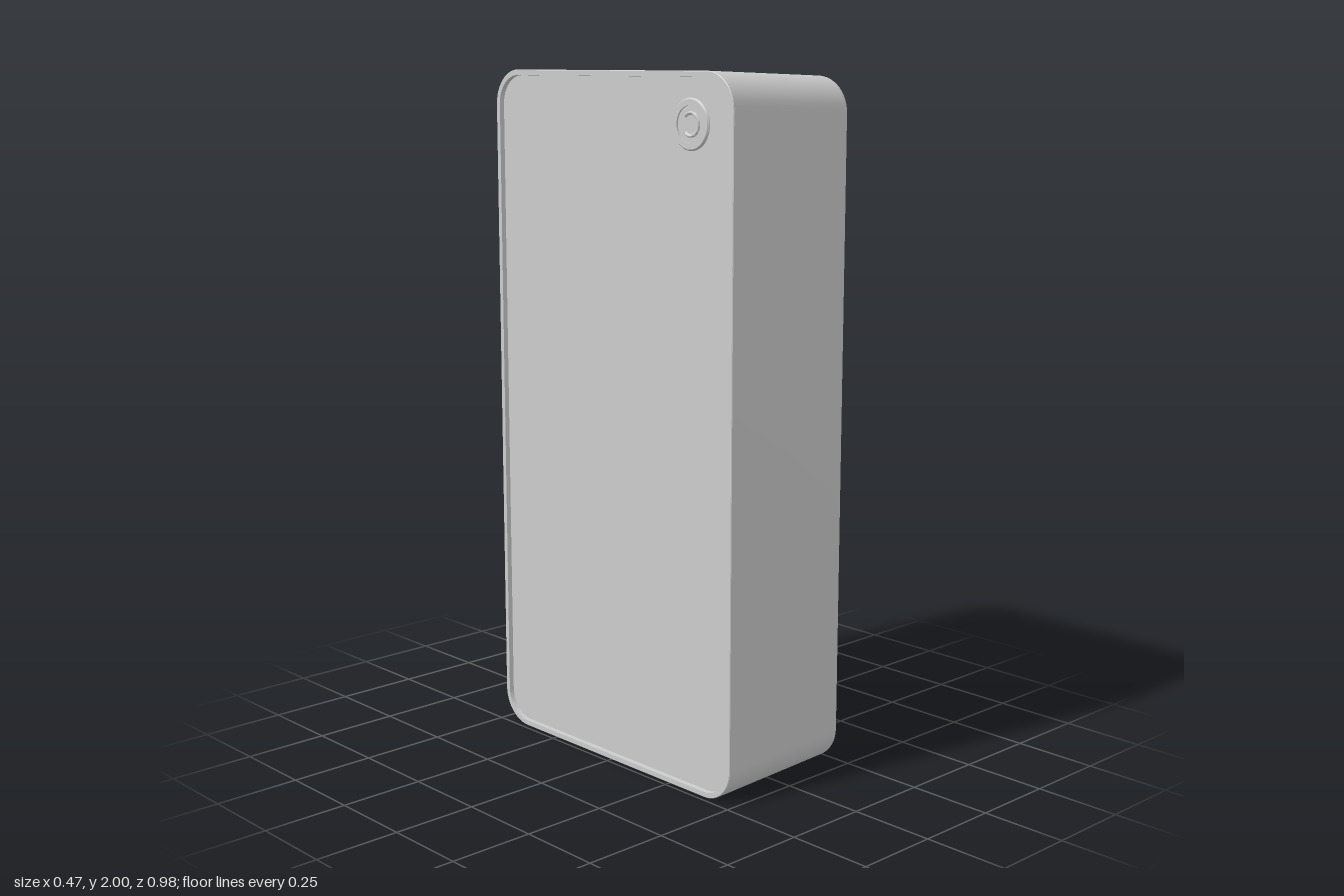
import * as THREE from 'three';
import { toCreasedNormals } from 'three/addons/utils/BufferGeometryUtils.js';

const material = new THREE.MeshStandardMaterial({ color: 0xcccccc, side: THREE.DoubleSide });
const DEPTH = 0.235; // half depth of the case
const WALL = 0.016;
const HOLE_Y = 1.4;

function part(name, geometry, crease = 0.6) {
  const mesh = new THREE.Mesh(toCreasedNormals(geometry, crease), material);
  mesh.name = name;
  return mesh;
}

// Rounded, slightly tapered outline of the case at depth w, shrunk by inset
function outline(w, inset) {
  const t = (w + DEPTH) / (2 * DEPTH);
  const half = 0.492 - 0.014 * t - inset;
  const bottom = 0.006 * t + inset;
  const top = 2 - 0.016 * t - inset;
  const r = 0.1 - inset;
  const points = [];
  const corners = [[half - r, bottom + r], [half - r, top - r], [r - half, top - r], [r - half, bottom + r]];
  corners.forEach(([x, y], k) => {
    for (let i = 0; i <= 12; i++) {
      const a = (k - 1 + i / 12) * Math.PI / 2;
      points.push(new THREE.Vector2(x + r * Math.cos(a), y + r * Math.sin(a)));
    }
  });
  return points;
}

// Skin a series of [w, inset] sections
function loft(sections) {
  const rings = sections.map(([w, inset]) => outline(w, inset));
  const n = rings[0].length;
  const positions = [], index = [];
  rings.forEach((ring, i) => {
    ring.forEach((p, j) => {
      positions.push(p.x, p.y, sections[i][0]);
      if (i === rings.length - 1) return;
      const a = i * n + j, b = i * n + (j + 1) % n;
      index.push(a, b, b + n, a, b + n, a + n);
    });
  });
  const g = new THREE.BufferGeometry();
  g.setAttribute('position', new THREE.Float32BufferAttribute(positions, 3));
  g.setIndex(index);
  return g;
}

// Flat wall with the round opening
function holedWall(w, inset, radius) {
  const shape = new THREE.Shape(outline(w, inset));
  const hole = new THREE.Path();
  hole.absarc(0, HOLE_Y, radius, 0, Math.PI * 2, true);
  shape.holes.push(hole);
  return new THREE.ShapeGeometry(shape, 48).translate(0, 0, w);
}

// Turned part with its axis along the depth of the case
function turned(profile, segments, x, y) {
  const points = profile.map(([r, w]) => new THREE.Vector2(r, w));
  return new THREE.LatheGeometry(points, segments).rotateX(Math.PI / 2).translate(x, y, 0);
}

export function createModel() {
  const model = new THREE.Group();
  model.name = 'case';

  // Hollow body: inner wall, back rim, outer wall, rounded front edge
  const fillet = 0.025;
  const sections = [[DEPTH - 0.02, WALL], [-DEPTH, WALL], [-DEPTH, 0.002], [-DEPTH + 0.002, 0]];
  for (let i = 0; i <= 6; i++) {
    const a = i / 6 * Math.PI / 2;
    sections.push([DEPTH - fillet + fillet * Math.sin(a), fillet * (1 - Math.cos(a))]);
  }
  model.add(part('shell', loft(sections)));
  model.add(part('face', holedWall(DEPTH, fillet, 0.385)));
  model.add(part('faceInside', holedWall(DEPTH - 0.02, WALL, 0.385)));

  // Sleeve behind the opening, ending in a stepped flange
  model.add(part('sleeve', turned([
    [0.385, 0.235], [0.379, 0.2335], [0.375, 0.229], [0.373, 0.222],
    [0.372, -0.045], [0.345, -0.045], [0.345, -0.055], [0.335, -0.055],
    [0.335, -0.068], [0.385, -0.068], [0.385, 0.215],
  ], 96, 0, HOLE_Y)));

  // T-shaped retaining tab at the top of the flange
  const tab = new THREE.Shape();
  const side = [[0.035, 1.75], [0.028, 1.735], [0.028, 1.695], [0.05, 1.695], [0.05, 1.68], [0.03, 1.667]];
  tab.setFromPoints([...side, ...side.map(([x, y]) => [-x, y]).reverse()]
    .map(([x, y]) => new THREE.Vector2(x, y)));
  const tabGeometry = new THREE.ExtrudeGeometry(tab, { depth: 0.018, bevelEnabled: false });
  model.add(part('tab', tabGeometry.translate(0, 0, -0.066)));

  // Back panel set just inside the rim
  const panelShape = new THREE.Shape(outline(-DEPTH, WALL));
  const panel = new THREE.ExtrudeGeometry(panelShape, { depth: 0.02, bevelEnabled: false });
  model.add(part('backPanel', panel.translate(0, 0, -0.22)));

  // Round fitting through the upper corner of the panel
  const x = -0.32, y = 1.86;
  model.add(part('fitting', turned([
    [0, -0.222], [0.05, -0.222], [0.05, -0.227], [0.066, -0.227], [0.07, -0.222],
    [0.07, -0.18], [0.045, -0.18], [0.045, -0.165], [0, -0.165],
  ], 40, x, y)));
  const rib = new THREE.TorusGeometry(0.03, 0.005, 8, 28, Math.PI * 1.5);
  model.add(part('fittingRib', rib.rotateZ(Math.PI / 4).translate(x, y, -0.222), 1.2));

  // Turn the opening to face the model's left
  model.rotation.y = Math.PI / 2;
  const root = new THREE.Group();
  root.add(model);
  return root;
}
